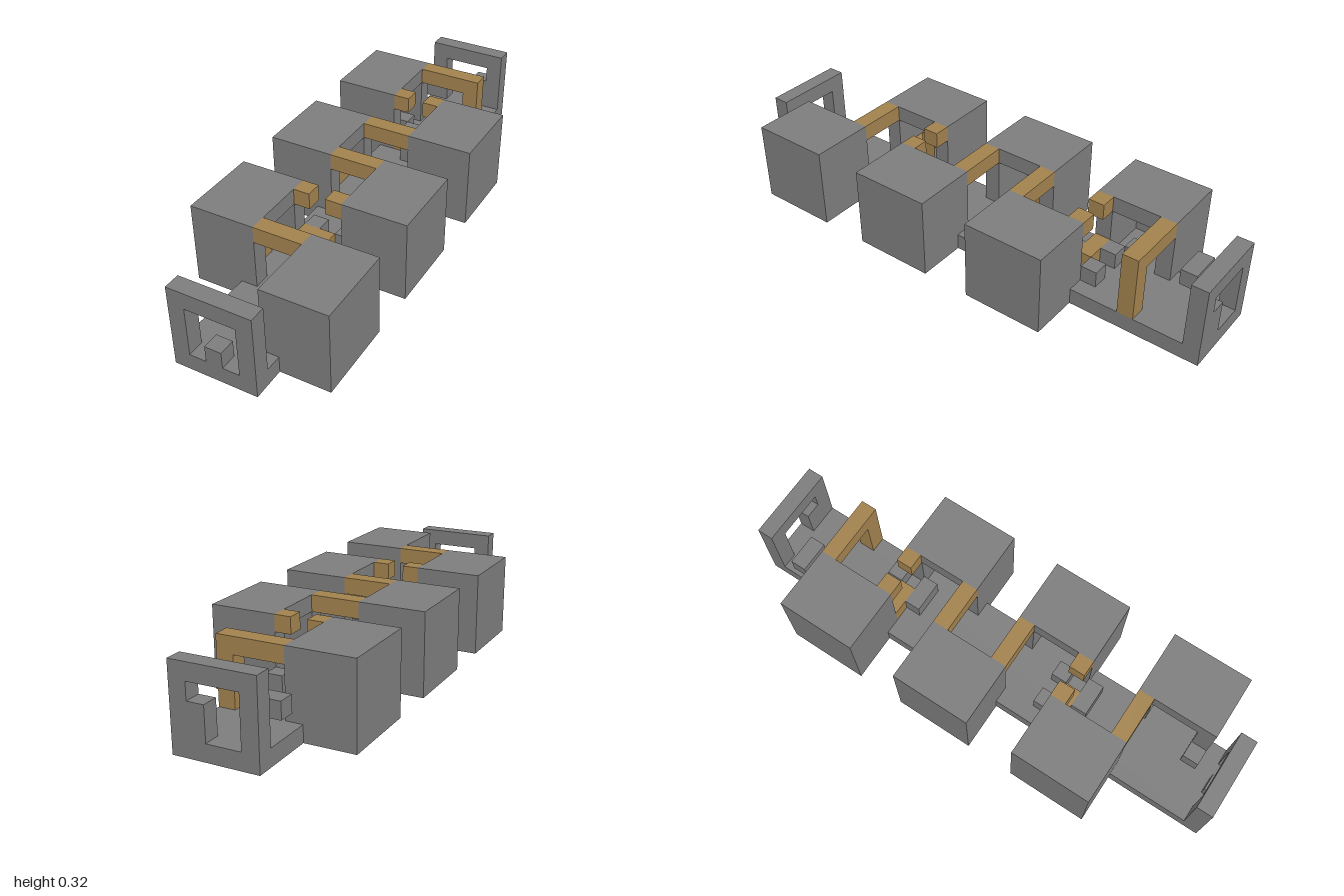
import * as THREE from 'three';

const U = 2 / 31; // one block

export function createModel() {
  const model = new THREE.Group();
  model.name = 'ruinedCorridor';
  const stone = new THREE.MeshStandardMaterial({ color: 0x7d7d7d });
  stone.name = 'grey stone';
  const wood = new THREE.MeshStandardMaterial({ color: 0xa2824e });
  wood.name = 'wooden planks';

  // Box from a corner block (x 0..10, y 0..4, z 0..30 from the back) and a size in blocks
  function box(parent, name, mat, x, y, z, w, h, d) {
    const mesh = new THREE.Mesh(new THREE.BoxGeometry(w * U, h * U, d * U), mat);
    mesh.position.set((x + w / 2 - 5.5) * U, (y + h / 2) * U, (z + d / 2 - 15.5) * U);
    mesh.name = name;
    parent.add(mesh);
  }
  function group(name) {
    const g = new THREE.Group();
    g.name = name;
    model.add(g);
    return g;
  }

  box(model, 'corridorFloor', stone, 3, 0, 0, 5, 1, 31);

  // Square gateways at both ends
  for (const [name, z] of [['backGate', 0], ['frontGate', 30]]) {
    const g = group(name);
    box(g, 'rightPost', stone, 3, 1, z, 1, 3, 1);
    box(g, 'leftPost', stone, 7, 1, z, 1, 3, 1);
    box(g, 'lintel', stone, 3, 4, z, 5, 1, 1);
  }

  // Hollow side rooms, open towards the corridor
  function room(name, side, z) {
    const g = group(name);
    const left = side > 0;
    const x = left ? 7 : 0;
    box(g, 'floor', stone, left ? 8 : 0, 0, z, 3, 1, 5);
    box(g, 'roof', stone, x, 4, z, 4, 1, 5);
    box(g, 'outerWall', stone, left ? 10 : 0, 1, z, 1, 3, 5);
    for (const wz of [z, z + 4]) box(g, 'sideWall', stone, left ? 7 : 1, 1, wz, 3, 3, 1);
  }
  for (const z of [4, 12, 20]) {
    room('rightRoom', -1, z);
    room('leftRoom', 1, z + 4);
  }

  // Ceiling beams: whole ones, and two broken with pieces on the floor
  const beams = group('beams');
  box(beams, 'endBeam', wood, 4, 4, 4, 4, 1, 1);
  box(beams, 'endBeamPost', wood, 7, 1, 4, 1, 3, 1);
  for (const z of [12, 16, 24]) box(beams, 'beam', wood, 4, 4, z, 3, 1, 1);
  for (const z of [8, 20]) {
    for (const x of [4, 6]) box(beams, 'beamStub', wood, x, 4, z, 1, 1, 1);
    box(beams, 'fallenBeam', wood, 4, 1, z, 2, 1, 1);
  }

  // Stone rubble
  const rubble = group('rubble');
  for (const z of [7, 19]) {
    for (const x of [4, 6]) box(rubble, 'rubbleBlock', stone, x, 1, z, 1, 1, 1);
    box(rubble, 'rubbleSlab', stone, 5, 1, z + 2, 2, 1, 1);
  }
  box(rubble, 'frontRubble', stone, 6, 1, 28, 1, 1, 1);
  box(rubble, 'frontGateRubble', stone, 5, 1, 30, 1, 1, 1);
  box(rubble, 'backGateRubble', stone, 6, 1, 0, 1, 2, 1);
  box(rubble, 'looseStone', stone, 3, 2, 2, 2, 1, 1);
  box(rubble, 'roomRubble', stone, 3, 1, 6, 1, 1, 1);

  // Wooden furniture in the right rooms
  const furniture = group('furniture');
  box(furniture, 'bench', wood, 2, 1, 13, 1, 1, 2);
  box(furniture, 'seat', wood, 2, 1, 22, 1, 1, 2);
  box(furniture, 'seatBack', wood, 2, 2, 22, 1, 1, 1);

  return model;
}
